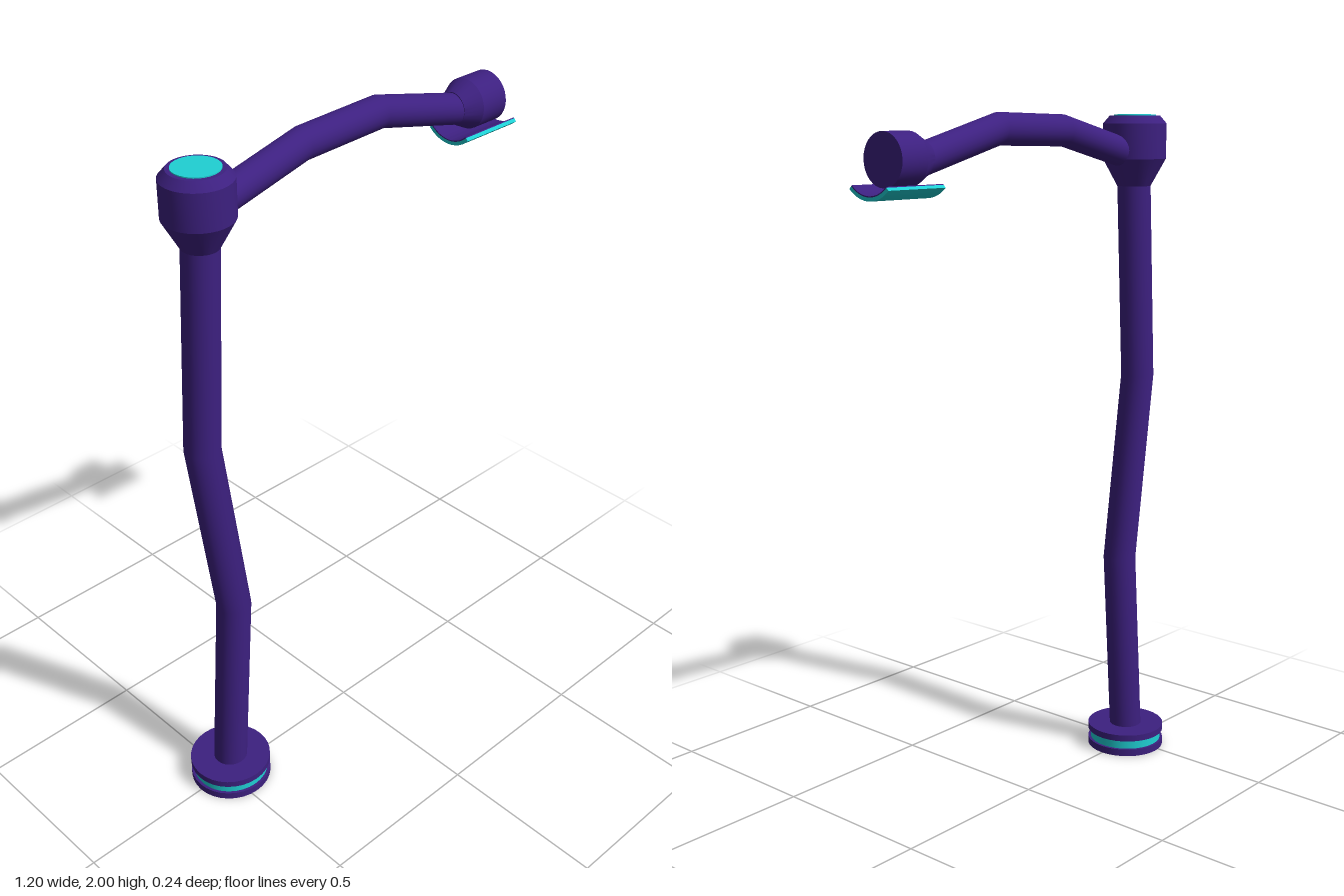
import * as THREE from 'three';
import { toCreasedNormals } from 'three/addons/utils/BufferGeometryUtils.js';

const purple = new THREE.MeshStandardMaterial({ color: 0x3d2080 });
const cyan = new THREE.MeshStandardMaterial({ color: 0x1fd0d4 });

const POST_X = -0.48;
const LAMP_Y = 1.886;

function add(parent, name, geometry, material) {
  const mesh = new THREE.Mesh(geometry, material);
  mesh.name = name;
  parent.add(mesh);
  return mesh;
}

// Round rod whose rings follow a bent path of [x, y] points
function bentRod(path, radius, horizontal) {
  const n = path.length - 1;
  const g = new THREE.CylinderGeometry(radius, radius, 1, 24, n, true);
  if (horizontal) g.rotateZ(-Math.PI / 2);
  const p = g.attributes.position;
  for (let i = 0; i < p.count; i++) {
    const along = horizontal ? p.getX(i) : p.getY(i);
    const [x, y] = path[Math.round((along + 0.5) * n)];
    if (horizontal) p.setXY(i, x, p.getY(i) + y);
    else p.setXY(i, p.getX(i) + x, y);
  }
  return g;
}

// Turned part with crisp edges
function turned(profile) {
  const points = profile.map(([r, y]) => new THREE.Vector2(r, y));
  return toCreasedNormals(new THREE.LatheGeometry(points, 32), 0.35);
}

// Trough-shaped sheet running along x, hanging below the lamp axis
function trough(outer, inner, length) {
  const mid = -Math.PI / 2, half = 0.775;
  const s = new THREE.Shape();
  s.absarc(0, 0, outer, mid - half, mid + half, false);
  s.absarc(0, 0, inner, mid + half, mid - half, true);
  const g = new THREE.ExtrudeGeometry(s, { depth: length, bevelEnabled: false, curveSegments: 12 });
  g.rotateY(Math.PI / 2);
  return toCreasedNormals(g, 0.4);
}

export function createModel() {
  const model = new THREE.Group();
  model.name = 'streetLamp';

  // Base: two discs with a glowing ring between them
  const base = new THREE.Group();
  base.name = 'base';
  base.position.x = POST_X;
  model.add(base);
  for (const [name, r, y0, y1, mat] of [
    ['baseLowerDisc', 0.12, 0, 0.022, purple],
    ['baseRing', 0.112, 0.022, 0.05, cyan],
    ['baseUpperDisc', 0.12, 0.05, 0.07, purple],
  ]) {
    add(base, name, new THREE.CylinderGeometry(r, r, y1 - y0, 32), mat).position.y = (y0 + y1) / 2;
  }

  // Bent post
  add(model, 'post', bentRod([[POST_X, 0.06], [-0.436, 0.64], [-0.513, 1.21], [POST_X, 1.8]], 0.05, false), purple);

  // Joint on top of the post, with a glowing cap
  const joint = add(model, 'joint', turned([
    [0, 1.785], [0.05, 1.785], [0.094, 1.865], [0.094, 1.967], [0.074, 1.99], [0, 1.99],
  ]), purple);
  joint.position.x = POST_X;
  add(model, 'jointCap', new THREE.CylinderGeometry(0.0625, 0.0625, 0.01, 32), cyan)
    .position.set(POST_X, 1.988, 0);

  // Arched arm
  add(model, 'arm', bentRod([[-0.46, 1.875], [-0.145, 1.95], [0.125, 1.957], [0.42, 1.882]], 0.044, true), purple);

  // Lamp housing at the end of the arm, turned about x
  const housing = turned([[0, 0], [0.045, 0], [0.07, 0.05], [0.07, 0.14], [0, 0.14]]);
  housing.rotateZ(-Math.PI / 2);
  add(model, 'lampHousing', housing, purple).position.set(0.41, LAMP_Y, 0);

  // Curved light panel with its backing
  add(model, 'lightPanel', trough(0.1, 0.09, 0.2), cyan).position.set(0.4, LAMP_Y, 0);
  add(model, 'panelBacking', trough(0.09, 0.087, 0.2), purple).position.set(0.4, LAMP_Y, 0);

  return model;
}
